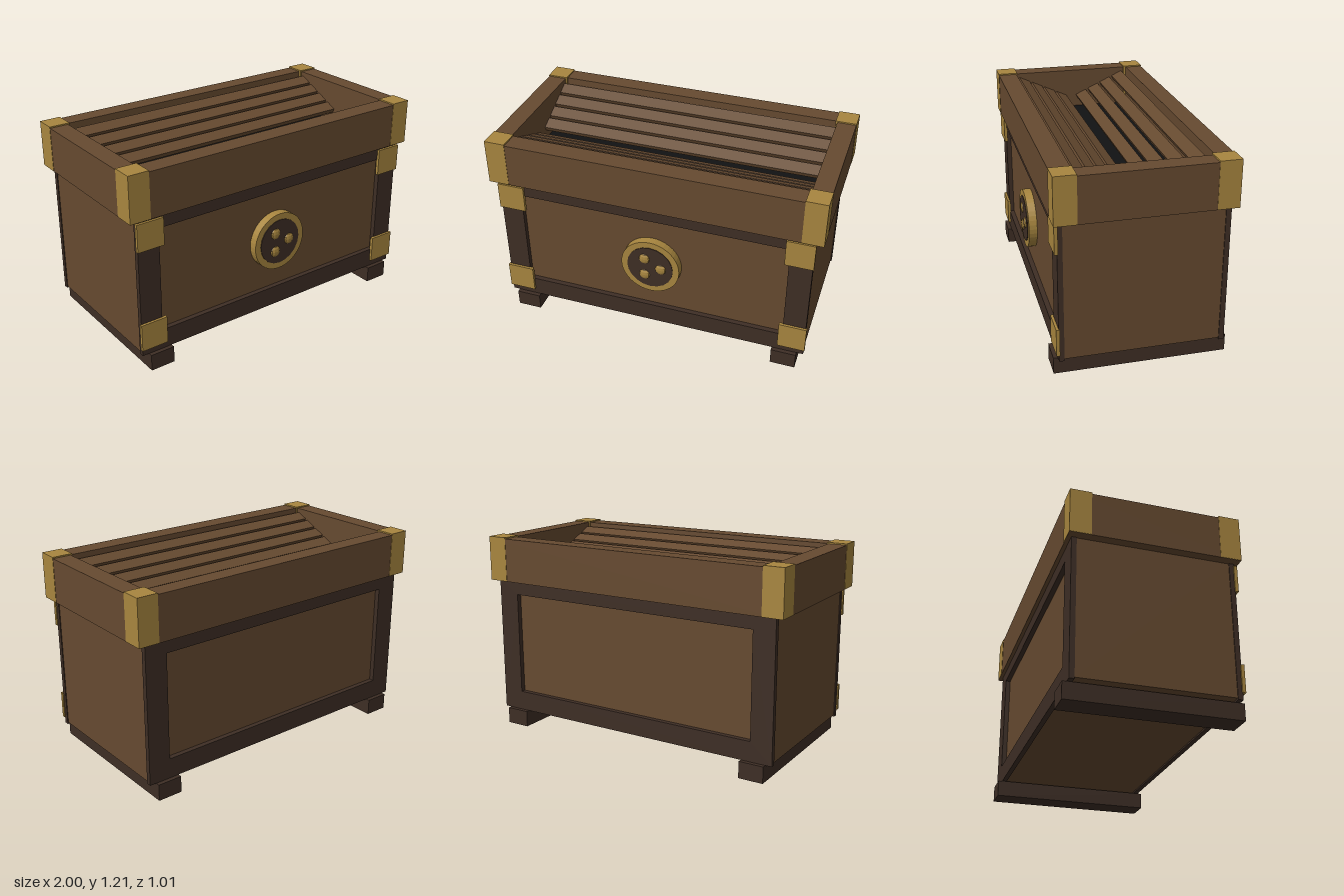
import * as THREE from 'three';

const material = (name, color, extra = {}) => {
  const m = new THREE.MeshStandardMaterial({ color, ...extra });
  m.name = name;
  return m;
};

export function createModel() {
  const wood = material('brown wood', 0x664a30);
  const dark = material('dark wood', 0x3e2e25);
  const brass = material('brass', 0xa8863f, { flatShading: true });
  const black = material('black interior', 0x111213);

  const model = new THREE.Group();
  model.name = 'slattedChest';
  const midZ = -0.005;

  const add = (name, geometry, mat, parent = model) => {
    const mesh = new THREE.Mesh(geometry, mat);
    mesh.name = name;
    parent.add(mesh);
    return mesh;
  };
  // Box given by its lower and upper limits on each axis
  const box = (name, mat, [x0, x1], [y0, y1], [z0, z1]) => {
    const mesh = add(name, new THREE.BoxGeometry(x1 - x0, y1 - y0, z1 - z0), mat);
    mesh.position.set((x0 + x1) / 2, (y0 + y1) / 2, (z0 + z1) / 2);
    return mesh;
  };
  const mirrored = (side, a, b) => (side > 0 ? [a, b] : [-b, -a]);
  const rect = (shape, x0, x1, y0, y1) => {
    shape.moveTo(x0, y0);
    shape.lineTo(x1, y0);
    shape.lineTo(x1, y1);
    shape.lineTo(x0, y1);
    shape.closePath();
    return shape;
  };
  // Rectangular frame extruded along z
  const frameGeometry = (outer, inner, depth) => {
    const shape = rect(new THREE.Shape(), ...outer);
    shape.holes.push(rect(new THREE.Path(), ...inner));
    return new THREE.ExtrudeGeometry(shape, { depth, bevelEnabled: false });
  };

  // Body, with the dark floor of the open top
  box('body', wood, [-0.945, 0.945], [0.11, 0.94], [-0.45, 0.44]);
  box('interiorFloor', black, [-0.89, 0.89], [0.94, 0.948], [-0.4, 0.38]);

  // Front and back frames around the recessed panels
  for (const [name, z] of [['frontFrame', 0.44], ['backFrame', -0.48]]) {
    const frame = add(name,
      frameGeometry([-0.95, 0.95, 0.1, 0.937], [-0.815, 0.815, 0.22, 0.855], 0.03), dark);
    frame.position.z = z;
  }

  // Raised top rim, open in the middle
  const rim = add('topRim',
    frameGeometry([-0.998, 0.998, -0.493, 0.503], [-0.885, 0.885, -0.375, 0.395], 0.267), wood);
  rim.rotation.x = -Math.PI / 2;
  rim.position.y = 0.935;

  // Feet, corner caps and front corner plates on both sides
  for (const side of [-1, 1]) {
    box('footRail', dark, mirrored(side, 0.76, 0.91), [0, 0.1], [-0.505, 0.495]);
    box('rimCornerCap', brass, mirrored(side, 0.875, 1), [0.936, 1.21], [0.37, 0.495]);
    box('rimCornerCap', brass, mirrored(side, 0.875, 1), [0.936, 1.21], [-0.505, -0.38]);
    for (const y of [0.14, 0.755]) {
      box('cornerPlate', brass, mirrored(side, 0.792, 0.957), [y, y + 0.165], [0.465, 0.485]);
    }
  }

  // Two banks of slats sloping down into the middle
  const tilt = 0.43;
  for (const side of [-1, 1]) {
    for (let i = 0; i < 4; i++) {
      const slat = add('slat', new THREE.BoxGeometry(1.77, 0.03, 0.075), wood);
      const z = 0.075 + i * 0.085;
      slat.position.set(0, 1.03 + i * 0.039, midZ + side * z);
      slat.rotation.x = -side * tilt;
    }
  }

  // Round front emblem: brass ring, dark disc and three studs
  const emblem = new THREE.Group();
  emblem.name = 'frontEmblem';
  emblem.position.set(0, 0.535, 0);
  model.add(emblem);
  const ringShape = new THREE.Shape().absarc(0, 0, 0.18, 0, Math.PI * 2);
  ringShape.holes.push(new THREE.Path().absarc(0, 0, 0.138, 0, Math.PI * 2));
  const ring = add('emblemRing',
    new THREE.ExtrudeGeometry(ringShape, { depth: 0.05, bevelEnabled: false, curveSegments: 20 }),
    brass, emblem);
  ring.position.z = 0.44;
  const disc = add('emblemDisc', new THREE.CylinderGeometry(0.142, 0.142, 0.055, 20), dark, emblem);
  disc.rotation.x = Math.PI / 2;
  disc.position.z = 0.4665;
  for (let i = 0; i < 3; i++) {
    const a = (i * Math.PI * 2) / 3;
    const stud = add('emblemStud', new THREE.SphereGeometry(0.035, 10, 6), brass, emblem);
    stud.scale.z = 0.4;
    stud.position.set(0.067 * Math.cos(a), 0.067 * Math.sin(a), 0.492);
  }

  return model;
}
